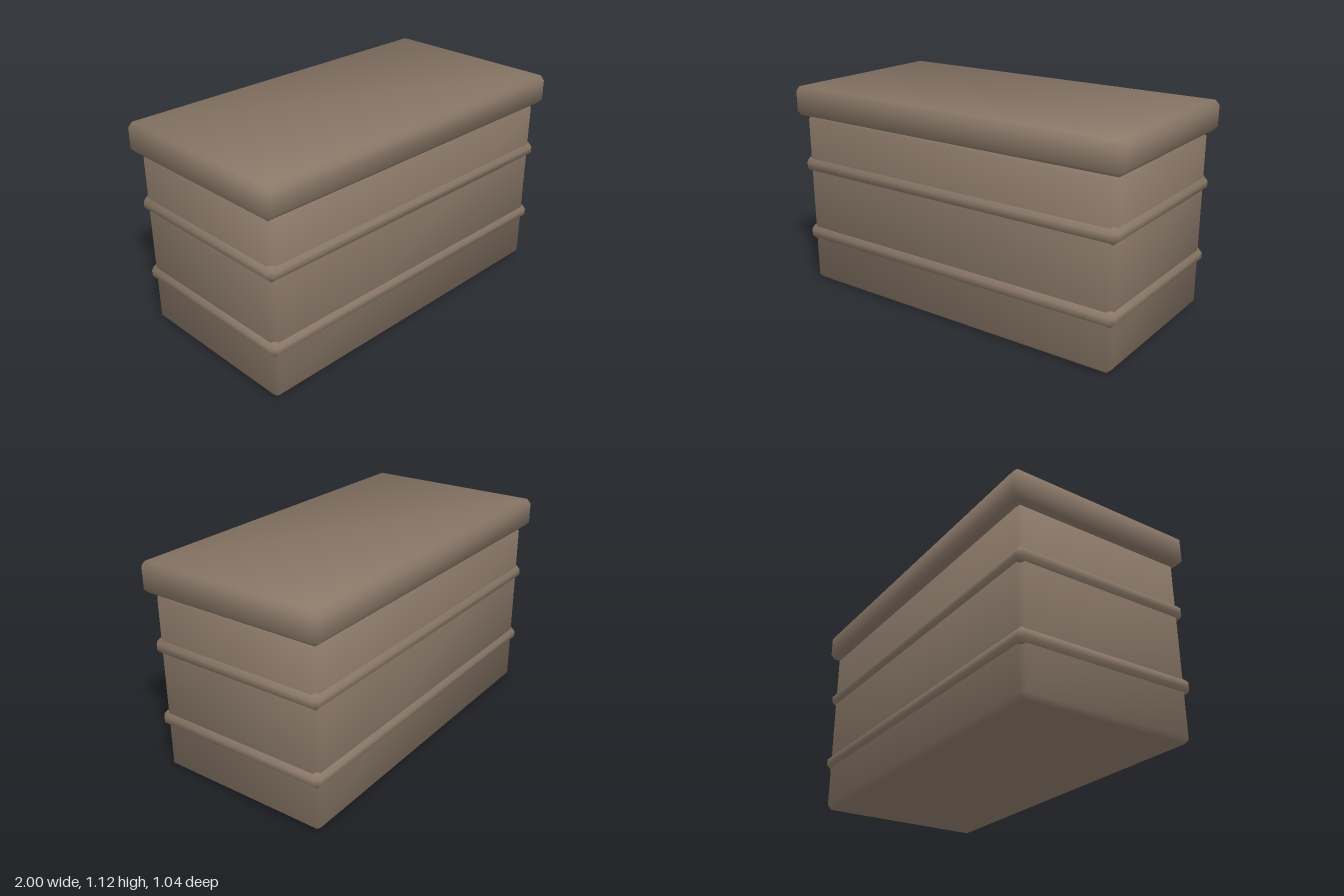
import * as THREE from 'three';
import { ConvexGeometry } from 'three/addons/geometries/ConvexGeometry.js';

const CHAMFER = 0.024;

// Box with chamfered edges and soft normals that blend across every face
function chamferedBox(width, height, depth) {
  const half = [width / 2, height / 2, depth / 2];
  const points = [];
  for (const sx of [-1, 1]) for (const sy of [-1, 1]) for (const sz of [-1, 1]) {
    const sign = [sx, sy, sz];
    for (let axis = 0; axis < 3; axis++) {
      const p = half.map((h, i) => sign[i] * (i === axis ? h : h - CHAMFER));
      points.push(new THREE.Vector3(...p));
    }
  }
  const geometry = new ConvexGeometry(points);
  const position = geometry.getAttribute('position');
  const normal = geometry.getAttribute('normal');
  for (let i = 0; i < position.count; i++) {
    const p = [position.getX(i), position.getY(i), position.getZ(i)];
    // Full weight on the face the corner belongs to, half on its neighbours
    const n = p.map((v, k) => Math.sign(v) * (Math.abs(v) > half[k] - CHAMFER / 2 ? 1 : 0.5));
    const unit = new THREE.Vector3(...n).normalize();
    normal.setXYZ(i, unit.x, unit.y, unit.z);
  }
  return geometry;
}

export function createModel() {
  const model = new THREE.Group();
  model.name = 'chest';
  const wood = new THREE.MeshStandardMaterial({ color: 0x8a7868 });
  wood.name = 'brown wood';

  function addBox(name, width, depth, bottom, top) {
    const mesh = new THREE.Mesh(chamferedBox(width, top - bottom, depth), wood);
    mesh.name = name;
    mesh.position.y = (bottom + top) / 2;
    model.add(mesh);
  }

  addBox('body', 1.92, 0.96, 0, 0.962);
  addBox('lid', 2, 1.04, 0.962, 1.12);
  // Raised bands running round the body
  addBox('lowerBand', 1.955, 0.996, 0.243, 0.323);
  addBox('upperBand', 1.955, 0.996, 0.643, 0.723);

  return model;
}
